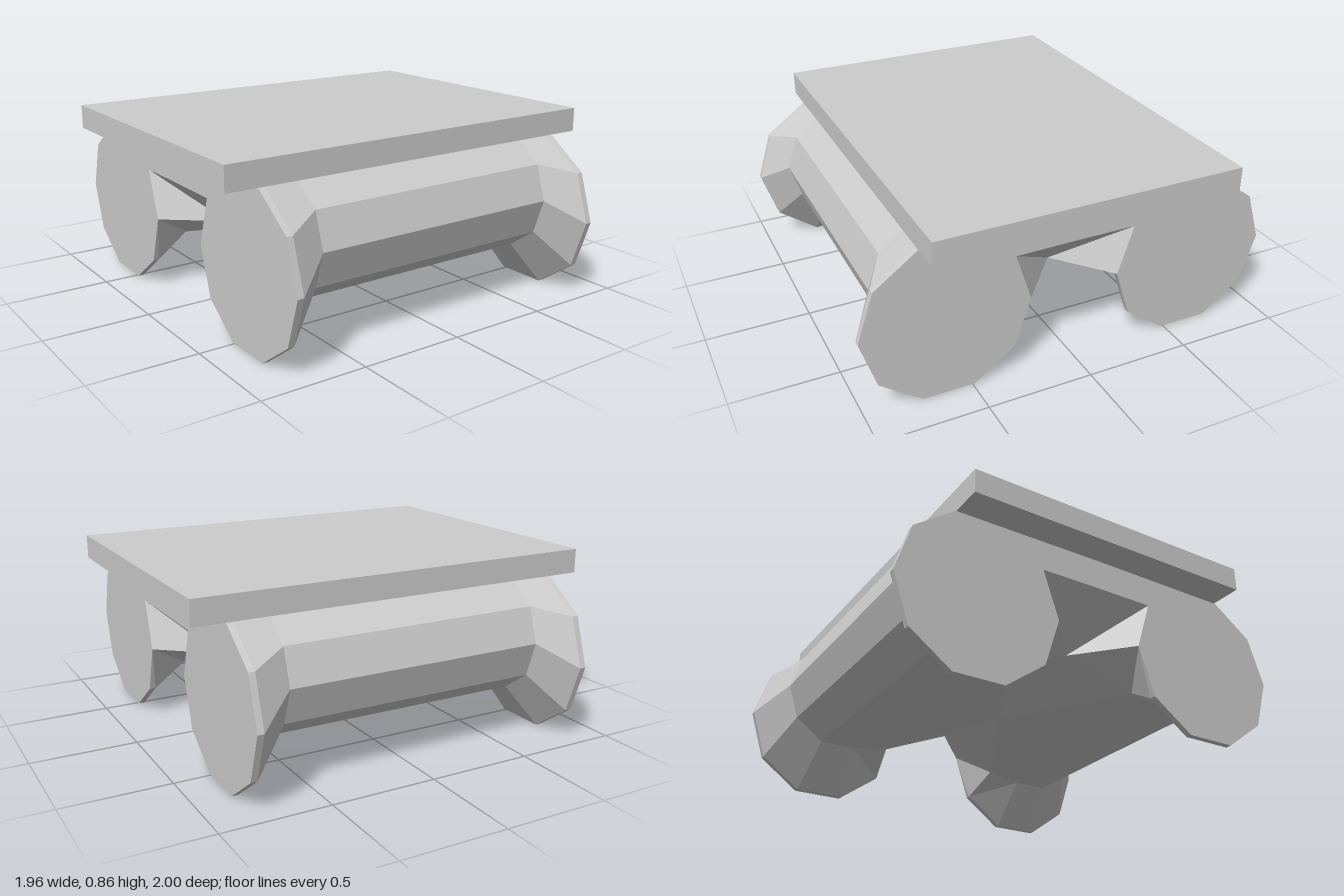
import * as THREE from 'three';

const stone = new THREE.MeshStandardMaterial({ color: 0xcccccc });
stone.name = 'paleStone';
stone.flatShading = true;

// Points of a ten-sided scroll, as [z, y], from its top outer corner round to its inner side
function scroll(cz, cy, r, count) {
  return Array.from({ length: count }, (_, i) => {
    const a = (72 - 36 * i) * Math.PI / 180;
    return [cz + r * Math.cos(a), cy + r * Math.sin(a)];
  });
}

// Half cross-sections (z >= 0) running from the top centre round to the bottom centre
function sections() {
  const big = [[0, 0.755], ...scroll(0.61, 0.378, 0.392, 9), [0, 0.61]];
  const small = [[0, 0.76], ...scroll(0.6, 0.49, 0.283, 6), [0.33, 0.25]];
  const at = (x, list) => list.map(([z, y]) => [x, y, z]);
  const face = at(0.83, big);
  const rim = face.map(([x, y, z], i) => [i > 7 ? x : 0.80, y, z]);
  const apex = [0.575, 0.38, 0];
  const middle = [0, 0.272, 0];
  return [
    face,
    rim,
    [...at(0.63, small), apex, apex, apex],
    [...at(0, small), middle, middle, middle],
  ];
}

// Scrolled block: one quarter is lofted and mirrored in x and z
function scrollBlock() {
  const rings = sections();
  const tris = [];
  const area = new THREE.Triangle();
  const add = (a, b, c) => {
    area.set(new THREE.Vector3(...a), new THREE.Vector3(...b), new THREE.Vector3(...c));
    if (area.getArea() > 1e-6) tris.push([a, b, c]);
  };
  for (let s = 0; s < rings.length - 1; s++) {
    const a = rings[s], b = rings[s + 1];
    for (let j = 0; j < a.length - 1; j++) {
      if (s === 2) {
        add(a[j], b[j], b[j + 1]);
        add(a[j], b[j + 1], a[j + 1]);
      } else {
        add(a[j], b[j], a[j + 1]);
        add(a[j + 1], b[j], b[j + 1]);
      }
    }
  }
  // flat end face
  const face = rings[0];
  const outline = face.map(([, y, z]) => new THREE.Vector2(-z, y));
  for (const [i, j, k] of THREE.ShapeUtils.triangulateShape(outline, [])) {
    const ccw = THREE.ShapeUtils.area([outline[i], outline[j], outline[k]]) > 0;
    if (ccw) add(face[i], face[j], face[k]);
    else add(face[i], face[k], face[j]);
  }
  const positions = [];
  for (const sx of [1, -1]) {
    for (const sz of [1, -1]) {
      for (const [a, b, c] of tris) {
        for (const p of sx * sz > 0 ? [a, b, c] : [a, c, b]) {
          positions.push(p[0] * sx, p[1], p[2] * sz);
        }
      }
    }
  }
  const geometry = new THREE.BufferGeometry();
  geometry.setAttribute('position', new THREE.Float32BufferAttribute(positions, 3));
  geometry.computeVertexNormals();
  return geometry;
}

export function createModel() {
  const model = new THREE.Group();
  model.name = 'columnCapital';

  const scrolls = new THREE.Mesh(scrollBlock(), stone);
  scrolls.name = 'scrolls';
  model.add(scrolls);

  // Flat slab on top
  const slab = new THREE.Mesh(new THREE.BoxGeometry(1.96, 0.115, 1.454), stone);
  slab.name = 'topSlab';
  slab.position.y = 0.8125;
  model.add(slab);

  return model;
}
